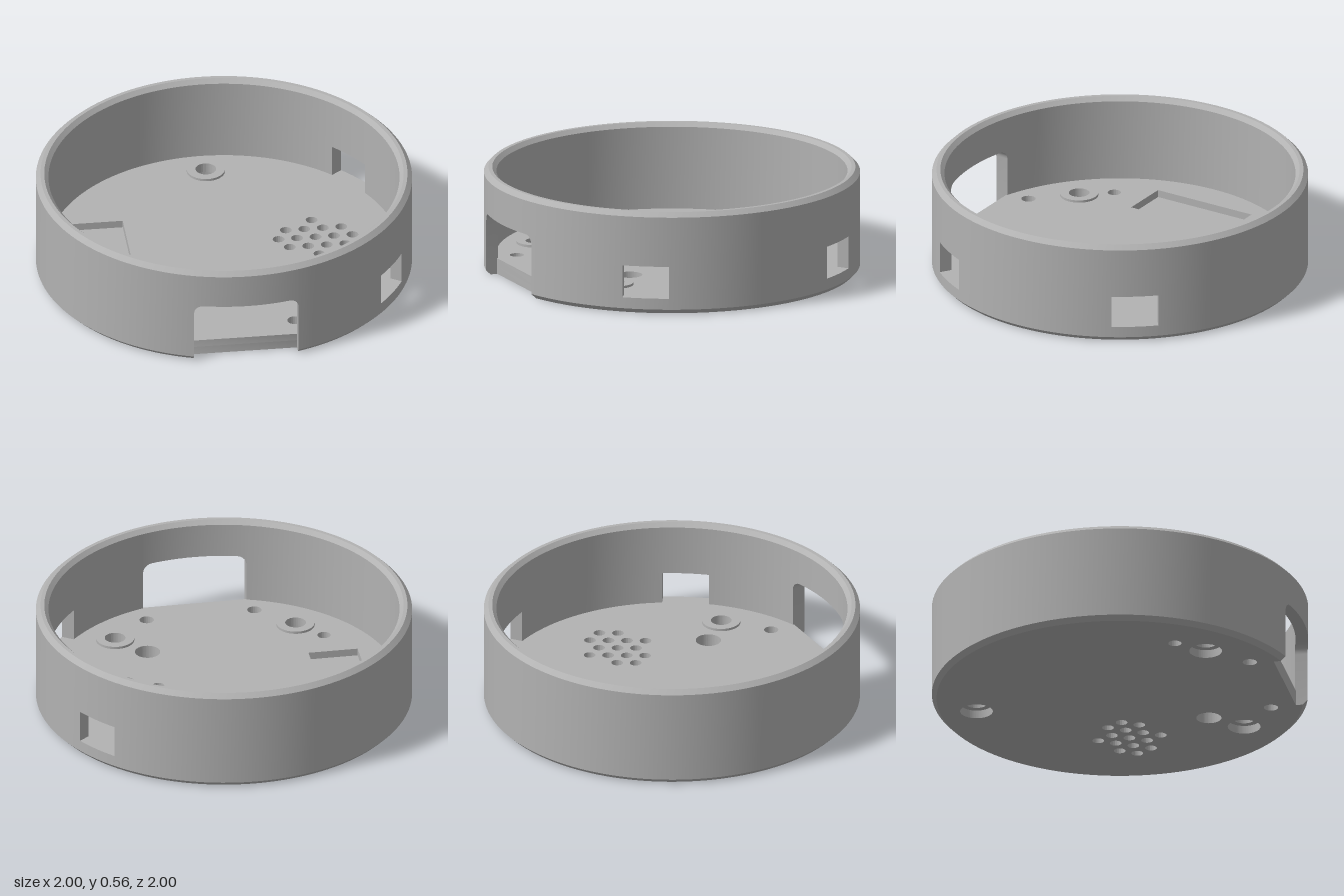
import * as THREE from 'three';
import { mergeGeometries, toCreasedNormals } from 'three/addons/utils/BufferGeometryUtils.js';

const IN = 0.933, OUT = 1, FLOOR = 0.085, MID = 0.045;

// Wall profile pieces as [radius, y], running bottom -> outside -> top -> inside
const FOOT = [[IN, 0], [0.975, 0], [OUT, 0.025]];
const RIM = [[OUT, 0.53], [0.975, 0.555], [0.955, 0.555], [IN, 0.533]];

// Openings cut straight through the wall: direction, half width, bottom, top, corner radius
const DEG = Math.PI / 180;
const openings = [
  { dir: 0, half: 0.28, y0: 0, y1: 0.345, corner: 0.05 },
  { dir: 56.5 * DEG, half: 0.125, y0: FLOOR, y1: 0.26, corner: 0 },
  { dir: 127.2 * DEG, half: 0.125, y0: FLOOR, y1: 0.26, corner: 0 },
];

const edge = (o, side, turn = 0) => (r) => o.dir + turn + side * Math.asin(o.half / r);
const point = (r, y, a) => [r * Math.sin(a), y, r * Math.cos(a)];

function fromTriangles(positions) {
  const g = new THREE.BufferGeometry();
  g.setAttribute('position', new THREE.Float32BufferAttribute(positions, 3));
  return g;
}

// Sweep a profile from angle a(r) to angle b(r)
function arc(profileAt, a, b, n, ease = (s) => s) {
  const rows = [];
  for (let i = 0; i <= n; i++) {
    const s = ease(i / n);
    rows.push(profileAt(s).map(([r, y]) => point(r, y, a(r) + (b(r) - a(r)) * s)));
  }
  const pos = [];
  for (let i = 0; i < n; i++) {
    for (let j = 0; j < rows[0].length - 1; j++) {
      const p = rows[i][j], q = rows[i + 1][j], u = rows[i + 1][j + 1], v = rows[i][j + 1];
      pos.push(...p, ...q, ...u, ...p, ...u, ...v);
    }
  }
  return fromTriangles(pos);
}

// Flat side of an opening
function jamb(outline, angle, flip) {
  const pts = outline.map(([r, y]) => point(r, y, angle(r)));
  if (flip) pts.reverse();
  const pos = [];
  for (let i = 1; i < pts.length - 1; i++) pos.push(...pts[0], ...pts[i], ...pts[i + 1]);
  return fromTriangles(pos);
}

function buildWall() {
  const parts = [];
  const ease = (s) => 0.5 - 0.5 * Math.cos(Math.PI * s);
  openings.forEach((o, k) => {
    const a = edge(o, -1), b = edge(o, 1);

    // Head of the opening, with rounded upper corners where needed
    const headY = (s) => {
      const d = Math.max(0, Math.abs(2 * s - 1) * o.half - (o.half - o.corner));
      return o.y1 - o.corner + Math.sqrt(Math.max(0, o.corner ** 2 - d ** 2));
    };
    parts.push(arc((s) => [[IN, headY(s)], [OUT, headY(s)], ...RIM, [IN, headY(s)]], a, b, 24, ease));

    // Sill below the opening
    if (o.y0 > 0) parts.push(arc(() => [...FOOT, [OUT, o.y0], [IN, o.y0]], a, b, 12));

    // Sides of the opening
    const top = o.y1 - o.corner;
    const base = o.y0 > 0 ? [[IN, o.y0], [OUT, o.y0]] : FOOT;
    const outline = [...base, [OUT, top], [IN, top]];
    parts.push(jamb(outline, b, false), jamb(outline, a, true));

    // Solid wall up to the next opening
    const last = k === openings.length - 1;
    const next = openings[(k + 1) % openings.length];
    const end = edge(next, -1, last ? 2 * Math.PI : 0);
    const n = Math.ceil((end(OUT) - b(OUT)) / (2.5 * DEG));
    parts.push(arc(() => [...FOOT, ...RIM, [IN, FLOOR]], b, end, n));
  });
  return toCreasedNormals(mergeGeometries(parts), 0.5);
}

// Horizontal plate from a shape drawn in x and -z
function slab(shape, y0, y1) {
  const g = new THREE.ExtrudeGeometry(shape, { depth: y1 - y0, bevelEnabled: false, curveSegments: 48 });
  g.rotateX(-Math.PI / 2).translate(0, y0, 0);
  return toCreasedNormals(g, 0.5);
}

const circle = (x, z, r) => new THREE.Path().absarc(x, -z, r, 0, Math.PI * 2, true);

// Round floor with a straight front edge
function floorShape(holes) {
  const r = 0.945, a = Math.asin(0.896 / r);
  const s = new THREE.Shape().absarc(0, 0, r, -a, Math.PI + a, false);
  s.holes.push(...holes);
  return s;
}

export function createModel() {
  const model = new THREE.Group();
  model.name = 'roundEnclosure';
  const grey = new THREE.MeshStandardMaterial({ color: 0xb2b2b2 });
  grey.name = 'grey';
  const add = (name, geometry) => {
    const m = new THREE.Mesh(geometry, grey);
    m.name = name;
    model.add(m);
  };

  add('wall', buildWall());

  // Through holes: plain holes and the grille pattern
  const drilled = [[-0.615, 0.43, 0.035], [-0.3, 0.77, 0.038], [0.283, 0.76, 0.038], [0.34, 0.41, 0.067]];
  [1, 4, 5, 4, 1].forEach((count, row) => {
    for (let i = 0; i < count; i++) {
      drilled.push([0.497 + (i - (count - 1) / 2) * 0.099, -0.055 + (row - 2) * 0.085, 0.031]);
    }
  });
  const through = () => drilled.map((h) => circle(...h));
  const screws = [[0, -0.78], [-0.487, 0.57], [0.487, 0.57]];

  // Lower floor layer carries the screw head recesses
  add('floorLower', slab(floorShape([...through(), ...screws.map(([x, z]) => circle(x, z, 0.087))]), 0, MID));

  // Upper floor layer carries the screw holes and the rectangular pocket
  const pocket = new THREE.Path([[-0.765, 0.34], [-0.5, 0.34], [-0.5, -0.25], [-0.765, -0.25]]
    .map(([x, y]) => new THREE.Vector2(x, y)));
  pocket.closePath();
  add('floorUpper', slab(floorShape([...through(), pocket, ...screws.map(([x, z]) => circle(x, z, 0.055))]), MID, FLOOR));

  // Raised rings around the screw holes
  for (const [x, z] of screws) {
    const ring = new THREE.Shape().absarc(x, -z, 0.102, 0, Math.PI * 2, false);
    ring.holes.push(circle(x, z, 0.055));
    add('screwBoss', slab(ring, FLOOR, 0.098));
  }
  return model;
}
